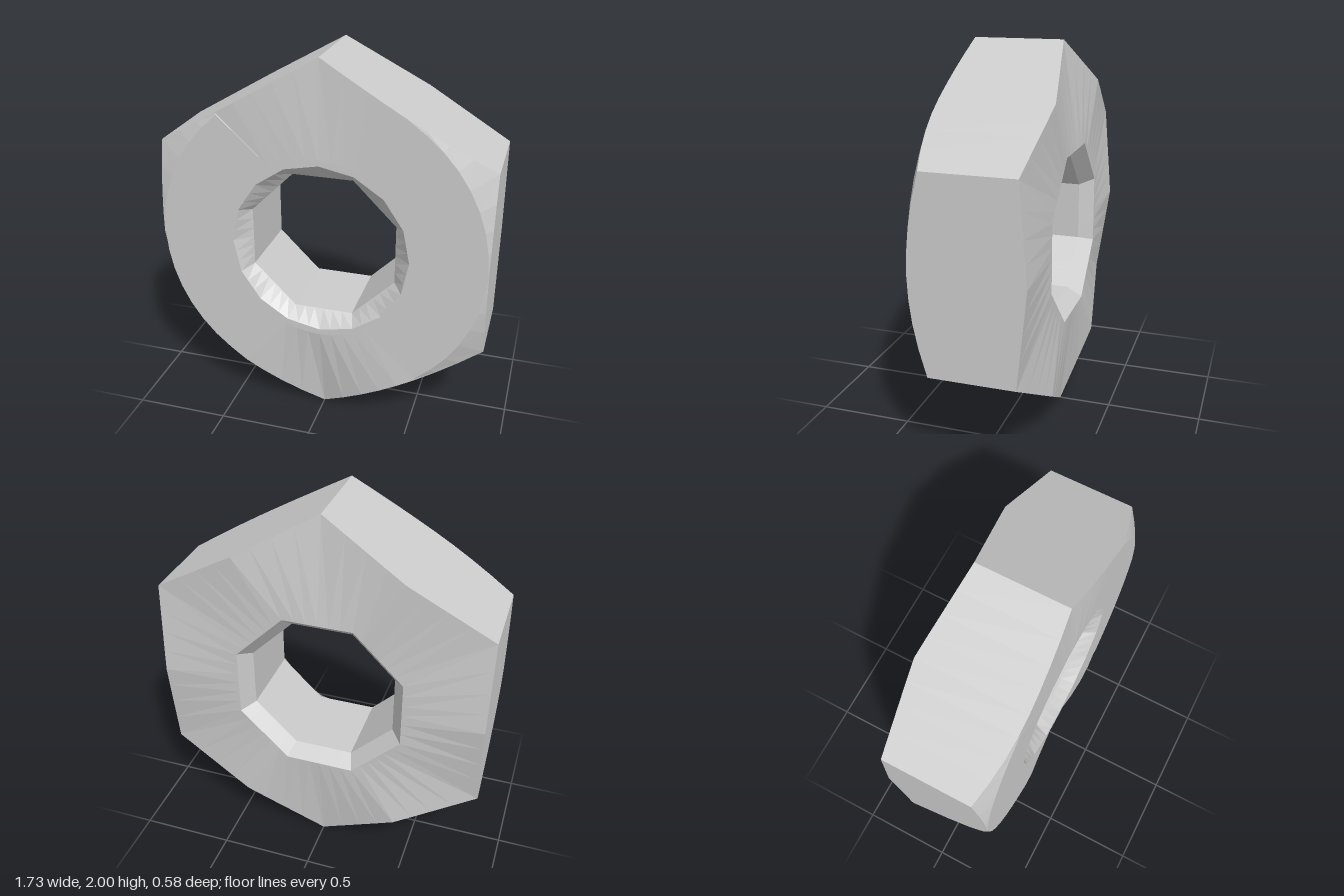
import * as THREE from 'three';

const SEG = 48;            // steps around the nut
const FLAT = 0.866;        // centre to flat side
const FACE = 0.285;        // half thickness
// edge z at each corner, clockwise from the top; one front corner is cut deep
const FRONT = [0.26, 0.21, 0.2, 0.2, -0.2, 0.22];
const BACK = [-0.21, -0.255, -0.24, -0.22, -0.22, -0.25];
// radius where the front face starts to slope towards each corner
const SLOPE_START = [0.5, 0.86, 0.86, 0.5, 0.86, 0.86];

// radius of a regular polygon at angle a; one corner sits at angle start
function polygonRadius(a, sides, corner, start = 0) {
  const step = (2 * Math.PI) / sides;
  const t = (((a - start) % step) + step) % step;
  return (corner * Math.cos(step / 2)) / Math.cos(t - step / 2);
}

// closed section through the nut at angle a, as [radius, z]
function section(a) {
  const outer = polygonRadius(a, 6, 1);
  const corner = Math.round(a / (Math.PI / 3)) % 6;
  // rounded fall to the front corners, straight fall to the back corners
  const curved = Math.max(0, outer - FLAT) / (1 - FLAT);
  const straight = 2 * Math.sqrt(Math.max(0, outer * outer - FLAT * FLAT));
  const bore = polygonRadius(a, 8, 0.415, Math.PI / 8);
  return [
    [outer, THREE.MathUtils.lerp(FACE, FRONT[corner], curved)],
    [outer, THREE.MathUtils.lerp(-0.293, BACK[corner], straight)],
    [polygonRadius(a, 8, 0.48, Math.PI / 8), -FACE],
    [bore, -0.21],
    [bore, 0.21],
    [polygonRadius(a, 16, 0.47), FACE],
    [SLOPE_START[corner], FACE],
  ];
}

function nutGeometry() {
  const positions = [];
  const index = [];
  const n = section(0).length;
  for (let i = 0; i < SEG; i++) {
    const a = (i / SEG) * 2 * Math.PI;
    for (const [r, z] of section(a)) positions.push(r * Math.sin(a), 1 + r * Math.cos(a), z);
  }
  // join neighbouring sections
  for (let i = 0; i < SEG; i++) {
    const next = (i + 1) % SEG;
    for (let j = 0; j < n; j++) {
      const k = (j + 1) % n;
      const [a, b, c, d] = [i * n + j, next * n + j, i * n + k, next * n + k];
      index.push(a, b, c, b, d, c);
    }
  }
  const geometry = new THREE.BufferGeometry();
  geometry.setAttribute('position', new THREE.Float32BufferAttribute(positions, 3));
  geometry.setIndex(index);
  const flat = geometry.toNonIndexed();
  flat.computeVertexNormals();
  return flat;
}

export function createModel() {
  const group = new THREE.Group();
  group.name = 'hexNut';
  const material = new THREE.MeshStandardMaterial({ color: 0xcccccc, flatShading: true });
  const nut = new THREE.Mesh(nutGeometry(), material);
  nut.name = 'nutBody';
  group.add(nut);
  return group;
}
